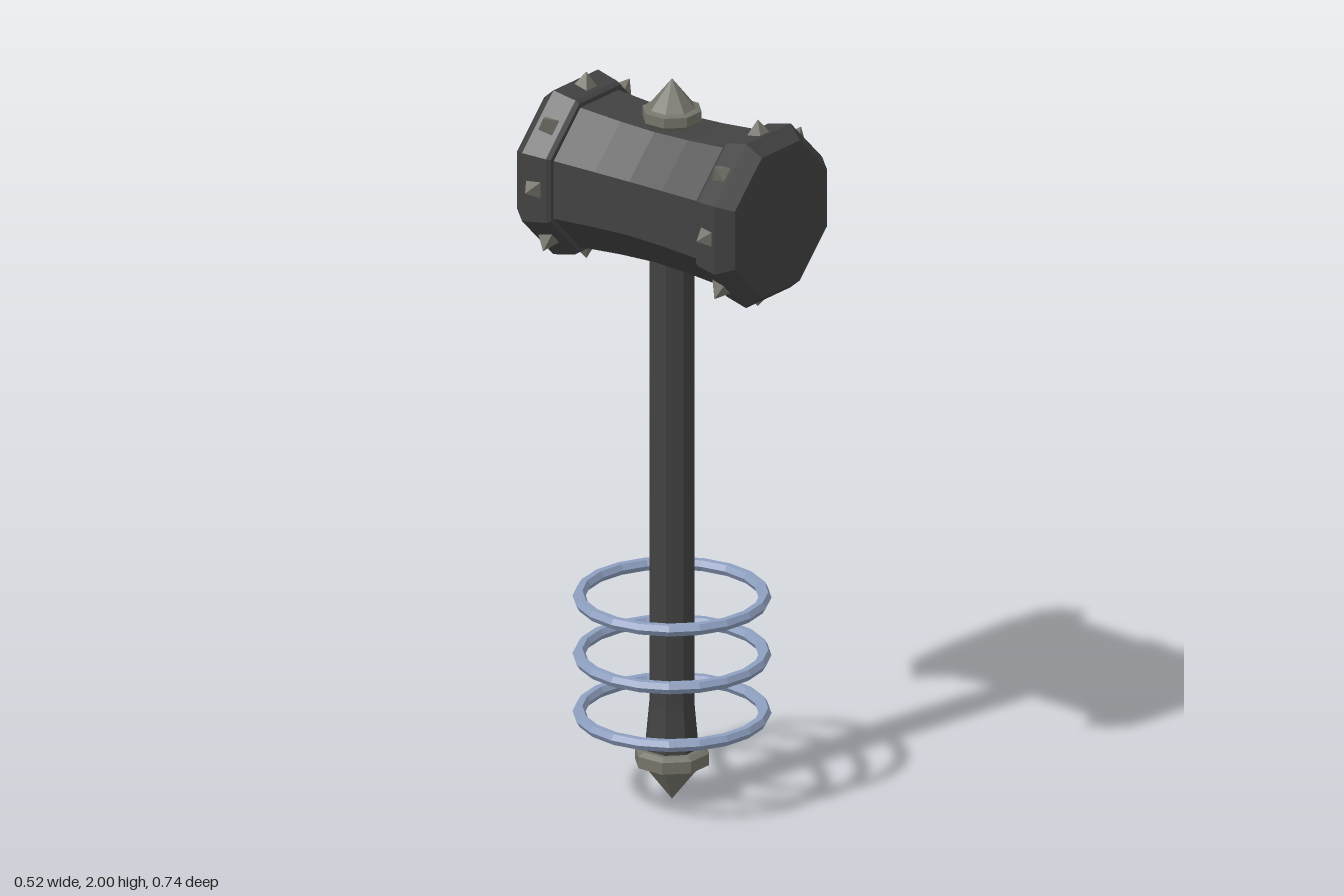
import * as THREE from 'three';

const material = (name, color) => {
  const m = new THREE.MeshStandardMaterial({ color, flatShading: true });
  m.name = name;
  return m;
};

// Eight-sided turned shape; profile gives [flat-to-axis distance, height] from bottom to top
function octagonLathe(profile) {
  const points = profile.map(([a, y]) => new THREE.Vector2(a / Math.cos(Math.PI / 8), y));
  return new THREE.LatheGeometry(points, 8, Math.PI / 8);
}

export function createModel() {
  const iron = material('darkIron', 0x424242);
  const steel = material('oliveSteel', 0x74746a);
  const blue = material('blueSteel', 0x8e9fc0);
  const group = new THREE.Group();
  const add = (name, geometry, mat, parent = group) => {
    const mesh = new THREE.Mesh(geometry, mat);
    mesh.name = name;
    parent.add(mesh);
    return mesh;
  };

  // Handle, flared at the grip end
  add('handle', octagonLathe([[0, 0.13], [0.068, 0.13], [0.056, 0.27], [0.056, 1.55], [0, 1.55]]), iron);

  // Pommel with pointed end
  add('pommel', octagonLathe([
    [0, 0.005], [0.07, 0.103], [0.092, 0.108], [0.092, 0.14], [0.078, 0.15], [0, 0.15],
  ]), steel);

  // Finial on top of the head
  add('finial', octagonLathe([
    [0, 1.86], [0.05, 1.865], [0.073, 1.89], [0.073, 1.917], [0.058, 1.922], [0, 2],
  ]), steel);

  // Loose rings around the grip
  for (const y of [0.245, 0.405, 0.565]) {
    const ring = add('gripRing', new THREE.TorusGeometry(0.24, 0.017, 6, 20), blue);
    ring.rotation.x = Math.PI / 2;
    ring.position.y = y;
  }

  // Head: waisted barrel with two heavy caps, lying along z
  const head = new THREE.Group();
  head.name = 'head';
  head.position.y = 1.694;
  group.add(head);
  const barrel = octagonLathe([[0.194, -0.25], [0.184, -0.11], [0.18, 0], [0.184, 0.11], [0.194, 0.25]]);
  add('barrel', barrel.rotateX(Math.PI / 2), iron, head);

  for (const side of [1, -1]) {
    const end = new THREE.Group();
    end.name = side > 0 ? 'frontEnd' : 'backEnd';
    end.rotation.y = side > 0 ? 0 : Math.PI;
    head.add(end);
    const cap = octagonLathe([
      [0.17, 0.237], [0.205, 0.237], [0.213, 0.247], [0.227, 0.314], [0.194, 0.355], [0, 0.372],
    ]);
    add('cap', cap.rotateX(Math.PI / 2), iron, end);

    // One four-sided spike on each face of the cap
    for (let i = 0; i < 8; i++) {
      const pivot = new THREE.Group();
      pivot.name = 'spikeMount';
      pivot.rotation.z = i * Math.PI / 4;
      end.add(pivot);
      const cone = new THREE.ConeGeometry(0.038, 0.05, 4).rotateY(Math.PI / 4);
      const spike = add('spike', cone, steel, pivot);
      spike.position.set(0, 0.234, 0.282);
      spike.rotation.x = -0.1;
    }
  }
  return group;
}
